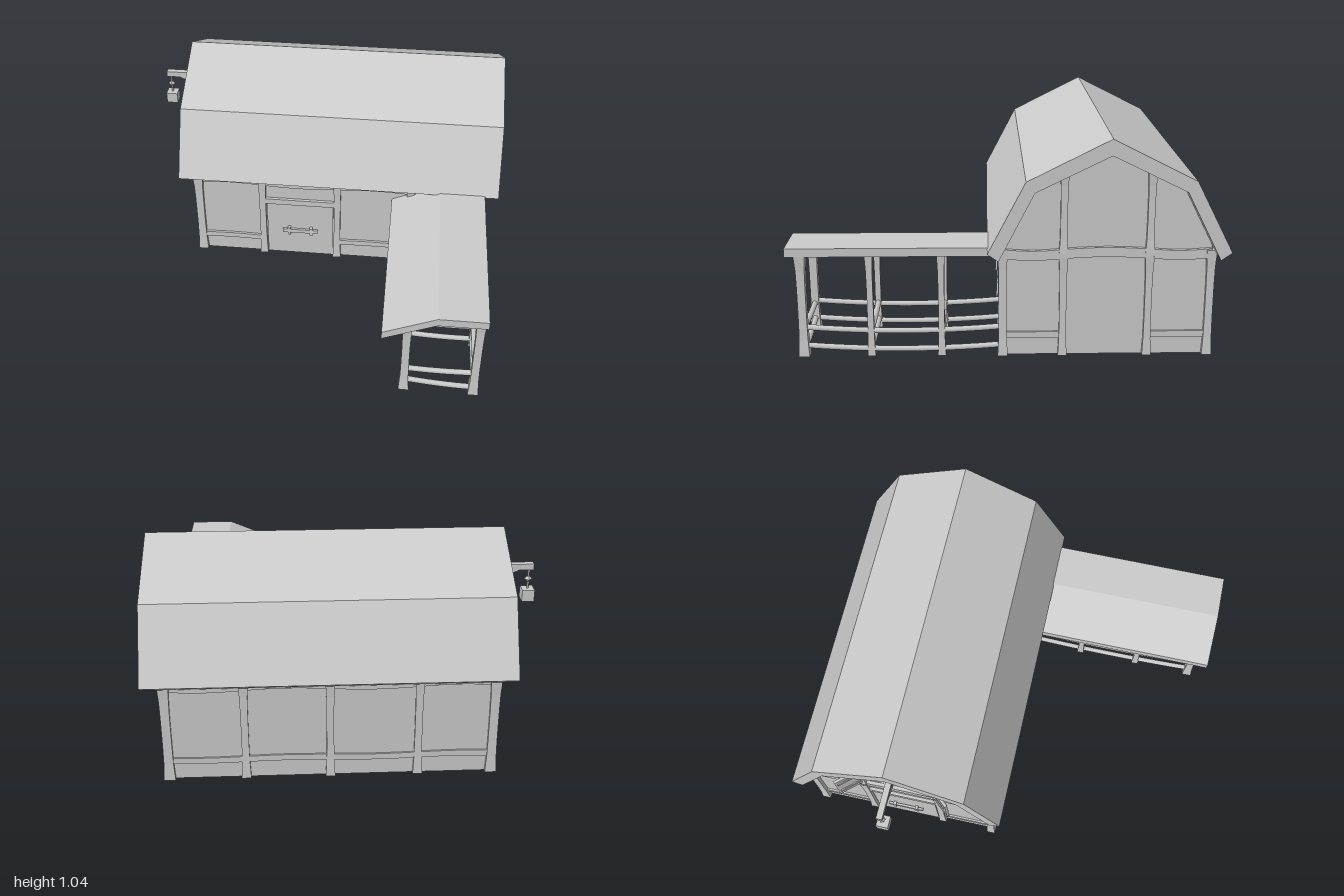
import * as THREE from 'three';

const flat = new THREE.MeshStandardMaterial({ color: 0xcccccc, flatShading: true, side: THREE.DoubleSide });
const smooth = new THREE.MeshStandardMaterial({ color: 0xcccccc });
const V = (x, y, z) => new THREE.Vector3(x, y, z);

export function createModel() {
  const root = new THREE.Group();
  const group = (name) => {
    const g = new THREE.Group();
    g.name = name;
    root.add(g);
    return g;
  };
  const add = (parent, name, geo, mat = flat) => {
    const m = new THREE.Mesh(geo, mat);
    m.name = name;
    parent.add(m);
    return m;
  };
  const box = (parent, name, x0, x1, y0, y1, z0, z1) => {
    const m = add(parent, name, new THREE.BoxGeometry(x1 - x0, y1 - y0, z1 - z0));
    m.position.set((x0 + x1) / 2, (y0 + y1) / 2, (z0 + z1) / 2);
    return m;
  };
  // Hewn timber from a to b: ends flare, the middle may sag. Upright: w is along x, h along z
  const timber = (parent, name, a, b, w, h, { flare = 0, sag = 0 } = {}) => {
    const L = a.distanceTo(b);
    const geo = new THREE.BoxGeometry(w, h, L, 1, 1, 6);
    const p = geo.attributes.position;
    for (let i = 0; i < p.count; i++) {
      const t = p.getZ(i) / L + 0.5;
      const s = 1 + flare * Math.pow(2 * t - 1, 4);
      p.setXY(i, p.getX(i) * s, p.getY(i) * s - sag * Math.sin(Math.PI * t));
    }
    const m = add(parent, name, geo);
    m.position.copy(a).lerp(b, 0.5);
    m.lookAt(b);
    return m;
  };
  // Extrudes a [z, y] outline along x
  const extrudeX = (parent, name, zy, x0, x1, hole) => {
    const pts = (list) => list.map(([z, y]) => new THREE.Vector2(-z, y));
    const shape = new THREE.Shape(pts(zy));
    if (hole) shape.holes.push(new THREE.Path(pts(hole)));
    const m = add(parent, name, new THREE.ExtrudeGeometry(shape, { depth: x1 - x0, bevelEnabled: false }));
    m.rotation.y = Math.PI / 2;
    m.position.x = x0;
    return m;
  };

  // Gambrel roof shell
  const outer = [[0.09, 0.52], [-0.08, 0.85], [-0.455, 1.04], [-0.83, 0.85], [-1, 0.52]];
  const inner = [[-0.95, 0.485], [-0.79, 0.8], [-0.455, 0.965], [-0.12, 0.8], [0.04, 0.485]];
  extrudeX(root, 'mainRoof', [...outer, ...inner], -0.76, 0.92);

  // Thin walls, open underneath; the left-hand gable in front view has a loft opening
  const walls = group('walls');
  const gable = [[0.02, 0], [0.02, 0.53], [-0.12, 0.805], [-0.455, 0.97], [-0.79, 0.805], [-0.93, 0.53], [-0.93, 0]];
  const loft = [[-0.28, 0.53], [-0.28, 0.74], [-0.63, 0.74], [-0.63, 0.53]];
  extrudeX(walls, 'plainGableWall', gable, 0.815, 0.83);
  extrudeX(walls, 'loftGableWall', gable, -0.67, -0.655, loft);
  box(walls, 'frontWall', -0.66, 0.82, 0, 0.53, 0.005, 0.02);
  box(walls, 'backWall', -0.66, 0.82, 0, 0.53, -0.93, -0.915);

  // Timber frame of the long sides
  const frame = group('timberFrame');
  const postX = [-0.67, -0.325, 0.08, 0.47, 0.825];
  const flare = 0.3;
  for (const z of [0.02, -0.925]) {
    postX.forEach((x, i) => {
      const corner = i === 0 || i === 4;
      timber(frame, corner ? 'cornerPost' : 'wallPost', V(x, 0, z), V(x, 0.51, z),
        corner ? 0.042 : 0.034, corner ? 0.036 : 0.034, { flare });
    });
    for (let i = 0; i < 4; i++) {
      const [a, b] = [postX[i], postX[i + 1]];
      const sag = i % 2 ? 0.008 : -0.008;
      timber(frame, 'topBeam', V(a, 0.485, z), V(b, 0.485, z), 0.026, 0.04, { sag });
      if (z > 0 && i === 1) continue;
      timber(frame, 'lowBeam', V(a, 0.1, z), V(b, 0.1, z), 0.026, 0.03, { sag: sag / 2 });
    }
  }

  // Timber frame of the gables
  for (const x of [-0.67, 0.83]) {
    for (const z of [-0.255, -0.645]) {
      timber(frame, 'gablePost', V(x, 0, z), V(x, 0.48, z), 0.034, 0.032, { flare });
      timber(frame, 'upperGablePost', V(x, 0.5, z), V(x, 0.875, z), 0.034, 0.032, { flare });
    }
    [[0.02, -0.255], [-0.255, -0.645], [-0.645, -0.925]].forEach(([a, b], i) => {
      timber(frame, 'gableBeam', V(x, 0.495, a), V(x, 0.495, b), 0.036, 0.045, { sag: i === 1 ? -0.008 : 0.008 });
      if (i !== 1) timber(frame, 'gableLowBeam', V(x, 0.1, a), V(x, 0.1, b), 0.02, 0.03);
    });
  }
  box(frame, 'loftLintel', -0.687, -0.65, 0.735, 0.765, -0.645, -0.255);

  // Doors with a crossbar held by two brackets
  const door = (name, width) => {
    const g = group(name);
    box(g, 'doorPanel', -width / 2, width / 2, 0.005, 0.34, 0, 0.01);
    box(g, 'lintel', -width / 2 - 0.02, width / 2 + 0.02, 0.345, 0.378, -0.005, 0.018);
    box(g, 'crossbar', -0.095, 0.095, 0.16, 0.182, 0.014, 0.026);
    for (const s of [-1, 1]) box(g, 'bracket', s * 0.06 - 0.008, s * 0.06 + 0.008, 0.148, 0.194, 0.008, 0.03);
    return g;
  };
  door('frontDoor', 0.36).position.set(-0.122, 0, 0.018);
  const sideDoor = door('sideDoor', 0.34);
  sideDoor.position.set(-0.668, 0, -0.45);
  sideDoor.rotation.y = -Math.PI / 2;

  // Loft shutters swung outwards
  for (const s of [-1, 1]) {
    const shutter = group('loftShutter');
    box(shutter, 'shutterBoard', -0.13, 0, 0.535, 0.735, -0.007, 0.007);
    for (const y of [0.575, 0.685]) box(shutter, 'shutterBatten', -0.12, -0.01, y, y + 0.02, -0.012, 0.012);
    shutter.position.set(-0.68, 0, -0.455 + s * 0.185);
    shutter.rotation.y = s * 0.85;
  }

  // Hoist above the loft
  const hoist = group('hoist');
  box(hoist, 'hoistArm', -0.915, -0.66, 0.82, 0.85, -0.47, -0.44);
  timber(hoist, 'hoistBrace', V(-0.84, 0.83, -0.455), V(-0.67, 0.75, -0.455), 0.024, 0.026);
  box(hoist, 'hoistRope', -0.899, -0.891, 0.71, 0.825, -0.459, -0.451);
  const knot = add(hoist, 'ropeKnot', new THREE.OctahedronGeometry(0.02));
  knot.position.set(-0.895, 0.768, -0.455);
  box(hoist, 'hoistLoad', -0.925, -0.865, 0.66, 0.718, -0.485, -0.425);

  // Lean-to roof: level part plus a slope
  const leanTo = group('leanTo');
  const profile = [[0.37, 0.42], [0.62, 0.528], [0.85, 0.528], [0.85, 0.488], [0.62, 0.488], [0.37, 0.38]];
  const roofShape = new THREE.Shape(profile.map(([x, y]) => new THREE.Vector2(x, y)));
  add(leanTo, 'leanToRoof', new THREE.ExtrudeGeometry(roofShape, { depth: 0.98, bevelEnabled: false }))
    .position.z = 0.02;

  // Lean-to posts and sagging round rails
  const rail = (name, a, b, sag) => {
    const mid = a.clone().lerp(b, 0.5);
    mid.y -= sag * 2;
    add(leanTo, name, new THREE.TubeGeometry(new THREE.QuadraticBezierCurve3(a, mid, b), 10, 0.014, 8), smooth);
  };
  const rows = [[0.487, 0.432], [0.82, 0.495]];
  [0.935, 0.625, 0.3].forEach((z, i) => {
    const w = i === 0 ? 0.038 : 0.028;
    for (const [x, top] of rows) timber(leanTo, 'leanToPost', V(x, 0, z), V(x, top, z), w, w, { flare: 0.35 });
    rail('upperCrossRail', V(0.487, 0.13, z), V(0.82, 0.13 - i * 0.008, z), 0.006);
    rail('lowerCrossRail', V(0.487, 0.055 - i * 0.008, z), V(0.82, 0.03 + i * 0.008, z), 0.006);
  });
  for (const [x] of rows) {
    rail('upperSideRail', V(x, 0.14, 0.935), V(x, 0.137, 0.02), 0.02);
    rail('lowerSideRail', V(x, 0.05, 0.935), V(x, 0.047, 0.02), 0.02);
  }
  return root;
}
